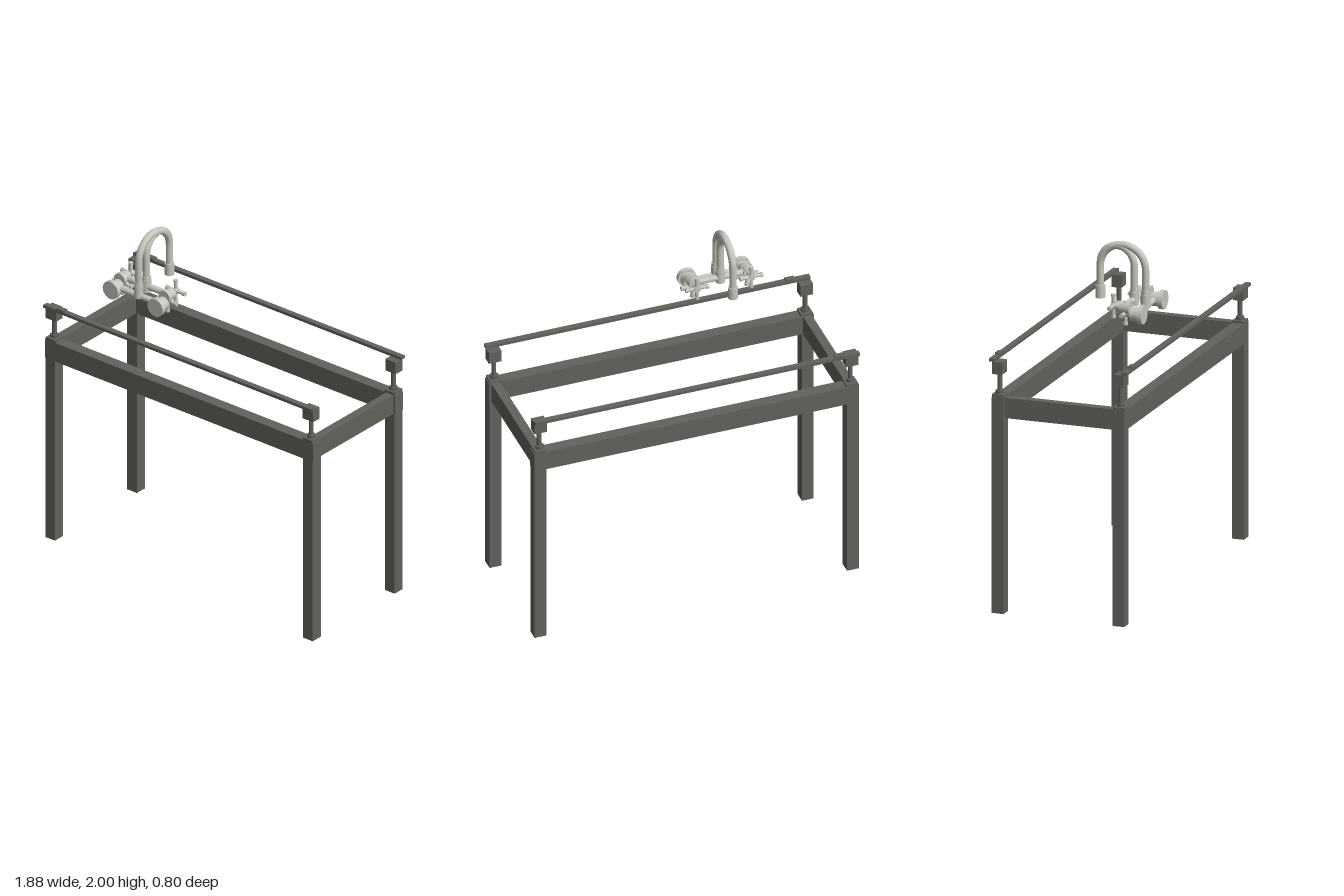
import * as THREE from 'three';

const steel = new THREE.MeshStandardMaterial({ color: 0x62625d });
const chrome = new THREE.MeshStandardMaterial({ color: 0xc6c6be });

function add(parent, name, geometry, material, x, y, z) {
  const mesh = new THREE.Mesh(geometry, material);
  mesh.name = name;
  mesh.position.set(x, y, z);
  parent.add(mesh);
  return mesh;
}

// box given by its extents on each axis
function box(parent, name, [x0, x1], [y0, y1], [z0, z1]) {
  return add(parent, name, new THREE.BoxGeometry(x1 - x0, y1 - y0, z1 - z0), steel,
    (x0 + x1) / 2, (y0 + y1) / 2, (z0 + z1) / 2);
}

// cylinder along an axis, centred at the given point
function rod(parent, name, axis, r, length, x, y, z, material = chrome, sides = 24) {
  const g = new THREE.CylinderGeometry(r, r, length, sides);
  if (axis === 'x') g.rotateZ(Math.PI / 2);
  if (axis === 'z') g.rotateX(Math.PI / 2);
  return add(parent, name, g, material, x, y, z);
}

// disc or barrel between two depths
function barrel(parent, name, r, x, y, z0, z1) {
  return rod(parent, name, 'z', r, z1 - z0, x, y, (z0 + z1) / 2);
}

function span(a, b) { return a < b ? [a, b] : [b, a]; }

function createTable() {
  const table = new THREE.Group();
  table.name = 'table';
  for (const s of [-1, 1]) {
    box(table, 'longRail', [-0.94, 0.94], [1.105, 1.22], span(s * 0.318, s * 0.385));
    box(table, 'sideRail', span(s * 0.877, s * 0.927), [1.105, 1.22], [-0.318, 0.318]);
    // thin strip carried on the posts, with its short raised clip
    box(table, 'topStrip', [-0.94, 0.94], [1.42, 1.437], span(s * 0.368, s * 0.4));
    box(table, 'stripClip', [-0.85, -0.797], [1.437, 1.446], span(s * 0.368, s * 0.4));
    for (const t of [-1, 1]) {
      const x = t * 0.9, z = s * 0.352;
      box(table, 'leg', span(t * 0.87, t * 0.938), [0, 1.105], span(s * 0.316, s * 0.385));
      // levelling post: base plate, nut, stem, head block
      box(table, 'basePlate', [x - 0.034, x + 0.034], [1.22, 1.235], [z - 0.034, z + 0.034]);
      rod(table, 'nut', 'y', 0.024, 0.018, x, 1.244, z, steel, 6);
      rod(table, 'stem', 'y', 0.013, 0.1, x, 1.3, z, steel);
      box(table, 'headBlock', span(t * 0.865, t * 0.938), [1.35, 1.42], span(s * 0.325, s * 0.382));
    }
  }
  return table;
}

// four-armed tap handle on a stem
function crossHandle(parent, x, y, z) {
  const handle = new THREE.Group();
  handle.name = 'crossHandle';
  handle.position.set(x, y, z);
  rod(handle, 'handleHub', 'z', 0.018, 0.03, 0, 0, 0);
  for (const axis of ['x', 'y']) {
    rod(handle, 'handleArm', axis, 0.01, 0.125, 0, 0, 0);
    for (const s of [-1, 1]) {
      rod(handle, 'armTip', axis, 0.013, 0.014,
        axis === 'x' ? s * 0.06 : 0, axis === 'y' ? s * 0.06 : 0, 0);
    }
  }
  parent.add(handle);
}

// goose-neck tube from the base over to the shared outlet
function spout(parent, x, baseY, baseZ, springY, topY) {
  const endZ = 0.025, midZ = (baseZ + endZ) / 2, r = (baseZ - endZ) / 2;
  const points = [new THREE.Vector3(x, baseY, baseZ), new THREE.Vector3(x, (baseY + springY) / 2, baseZ)];
  for (let i = 0; i <= 12; i++) {
    const a = Math.PI * i / 12;
    points.push(new THREE.Vector3(x, springY + (topY - springY) * Math.sin(a), midZ + r * Math.cos(a)));
  }
  points.push(new THREE.Vector3(x, 1.8, endZ), new THREE.Vector3(x, 1.72, endZ));
  const path = new THREE.CatmullRomCurve3(points);
  add(parent, 'spout', new THREE.TubeGeometry(path, 64, 0.02, 16), chrome, 0, 0, 0);
}

function createFaucet() {
  const faucet = new THREE.Group();
  faucet.name = 'faucet';
  const midX = -0.362, lowY = 1.645, highY = 1.678;

  for (const x of [midX - 0.157, midX + 0.157]) {
    // wall-side valve
    barrel(faucet, 'wallFlange', 0.053, x, lowY, 0.314, 0.34);
    barrel(faucet, 'valveBody', 0.04, x, lowY, 0.268, 0.314);
    barrel(faucet, 'valveNeck', 0.02, x, lowY, 0.225, 0.268);
    crossHandle(faucet, x, lowY, 0.232);
    // forward valve
    barrel(faucet, 'valveFlange', 0.038, x, highY, 0.24, 0.262);
    barrel(faucet, 'valveBody', 0.032, x, highY, 0.197, 0.24);
    barrel(faucet, 'valveNeck', 0.014, x, highY, 0.15, 0.197);
    crossHandle(faucet, x, highY, 0.162);
  }

  // cross pipes and spout bases
  rod(faucet, 'crossPipe', 'x', 0.018, 0.3, midX, lowY, 0.285);
  rod(faucet, 'crossPipe', 'x', 0.018, 0.3, midX, highY, 0.22);
  rod(faucet, 'spoutBase', 'y', 0.027, 0.075, midX, 1.675, 0.288);
  rod(faucet, 'spoutBase', 'y', 0.027, 0.075, midX, 1.685, 0.222);
  rod(faucet, 'spoutCollar', 'y', 0.024, 0.02, midX, 1.722, 0.288);
  rod(faucet, 'spoutCollar', 'y', 0.024, 0.02, midX, 1.73, 0.222);

  spout(faucet, midX, 1.68, 0.288, 1.85, 1.98);
  spout(faucet, midX, 1.68, 0.222, 1.865, 1.972);
  rod(faucet, 'outlet', 'y', 0.027, 0.07, midX, 1.705, 0.025);
  return faucet;
}

export function createModel() {
  const model = new THREE.Group();
  model.name = 'washstand';
  model.add(createTable(), createFaucet());
  return model;
}
